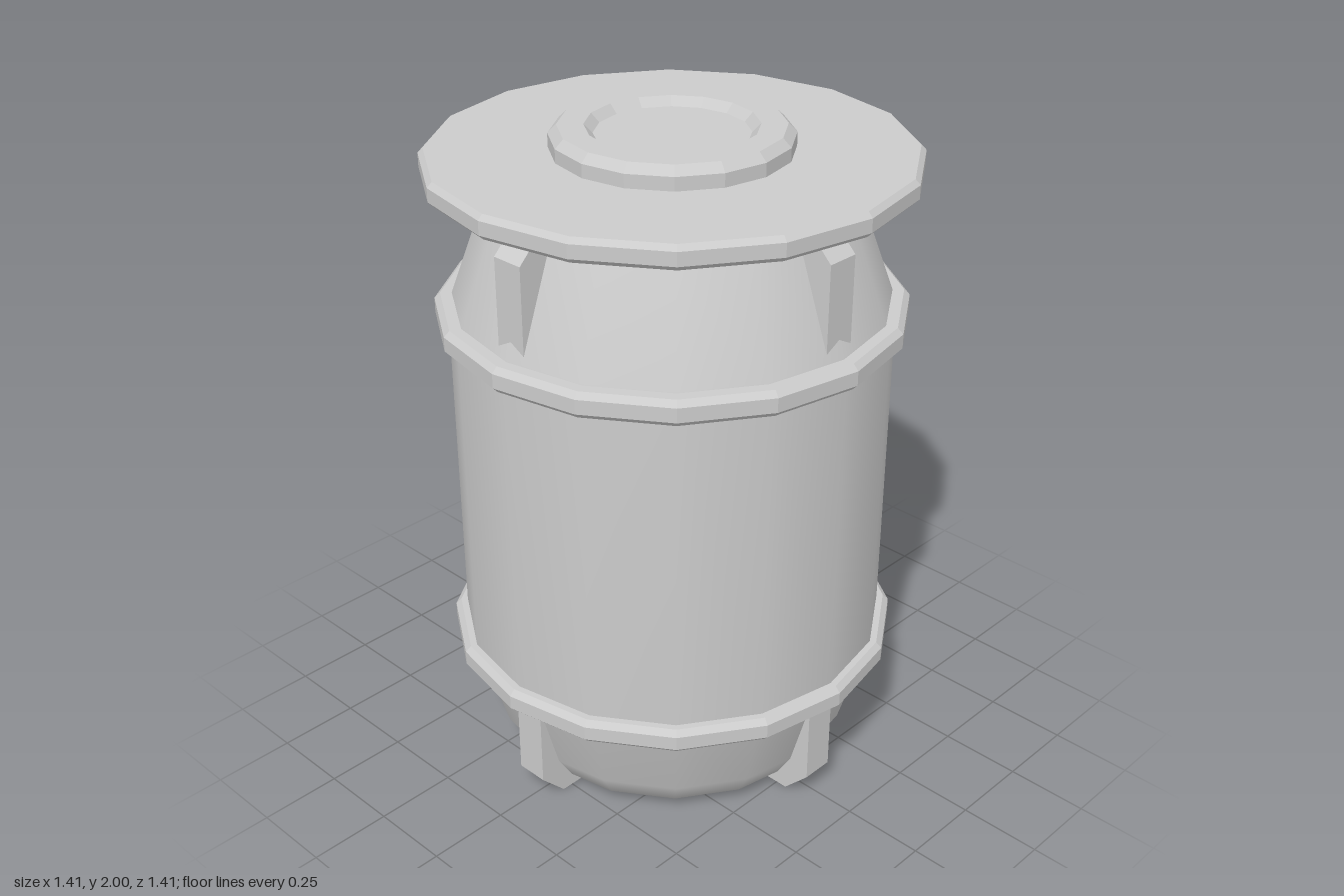
import * as THREE from 'three';

const SIDES = 16;

export function createModel() {
  const model = new THREE.Group();
  const smooth = new THREE.MeshStandardMaterial({ color: 0xcccccc });
  const faceted = new THREE.MeshStandardMaterial({ color: 0xcccccc, flatShading: true });

  // Turns a bottom-to-top [radius, height] profile around the y axis
  function turn(name, profile, material) {
    const points = profile.map(([r, y]) => new THREE.Vector2(r, y));
    const mesh = new THREE.Mesh(new THREE.LatheGeometry(points, SIDES), material);
    mesh.name = name;
    model.add(mesh);
    return mesh;
  }

  // Barrel with rounded-off bottom and shoulder
  turn('barrelBody', [
    [0, 0.003], [0.42, 0.003], [0.51, 0.04], [0.56, 0.12],
    [0.632, 0.37], [0.65, 0.40], [0.65, 1.46], [0.635, 1.5],
    [0.525, 1.8], [0.49, 1.825], [0.40, 1.865], [0, 1.865],
  ], smooth);

  // Two chamfered hoops
  for (const [name, y] of [['lowerHoop', 0.355], ['upperHoop', 1.42]]) {
    turn(name, [
      [0.6, y], [0.67, y], [0.687, y + 0.017],
      [0.687, y + 0.06], [0.67, y + 0.077], [0.6, y + 0.077],
    ], faceted);
  }

  // Wide lid disc
  turn('lid', [
    [0, 1.865], [0.69, 1.865], [0.705, 1.88],
    [0.705, 1.92], [0.69, 1.935], [0, 1.935],
  ], faceted);

  // Raised collar with a shallow recess
  turn('lidCollar', [
    [0.345, 1.93], [0.345, 1.975], [0.32, 2],
    [0.245, 2], [0.22, 1.975], [0, 1.975],
  ], faceted);

  // Chamfered fins at the foot and shoulder, four of each
  function finGeometry(outline) {
    const shape = new THREE.Shape(outline.map(([r, y]) => new THREE.Vector2(r, y)));
    const geometry = new THREE.ExtrudeGeometry(shape, { depth: 0.1, bevelEnabled: false });
    return geometry.translate(0, 0, -0.05);
  }
  const footFin = finGeometry([[0.35, 0], [0.535, 0], [0.617, 0.085], [0.617, 0.34], [0.5, 0.34]]);
  const shoulderFin = finGeometry([[0.45, 1.5], [0.617, 1.5], [0.617, 1.78], [0.53, 1.866], [0.35, 1.866]]);
  for (let i = 0; i < 4; i++) {
    for (const [name, geometry] of [['footFin', footFin], ['shoulderFin', shoulderFin]]) {
      const fin = new THREE.Mesh(geometry, faceted);
      fin.name = name + (i + 1);
      fin.rotation.y = (i * Math.PI) / 2;
      model.add(fin);
    }
  }

  return model;
}
